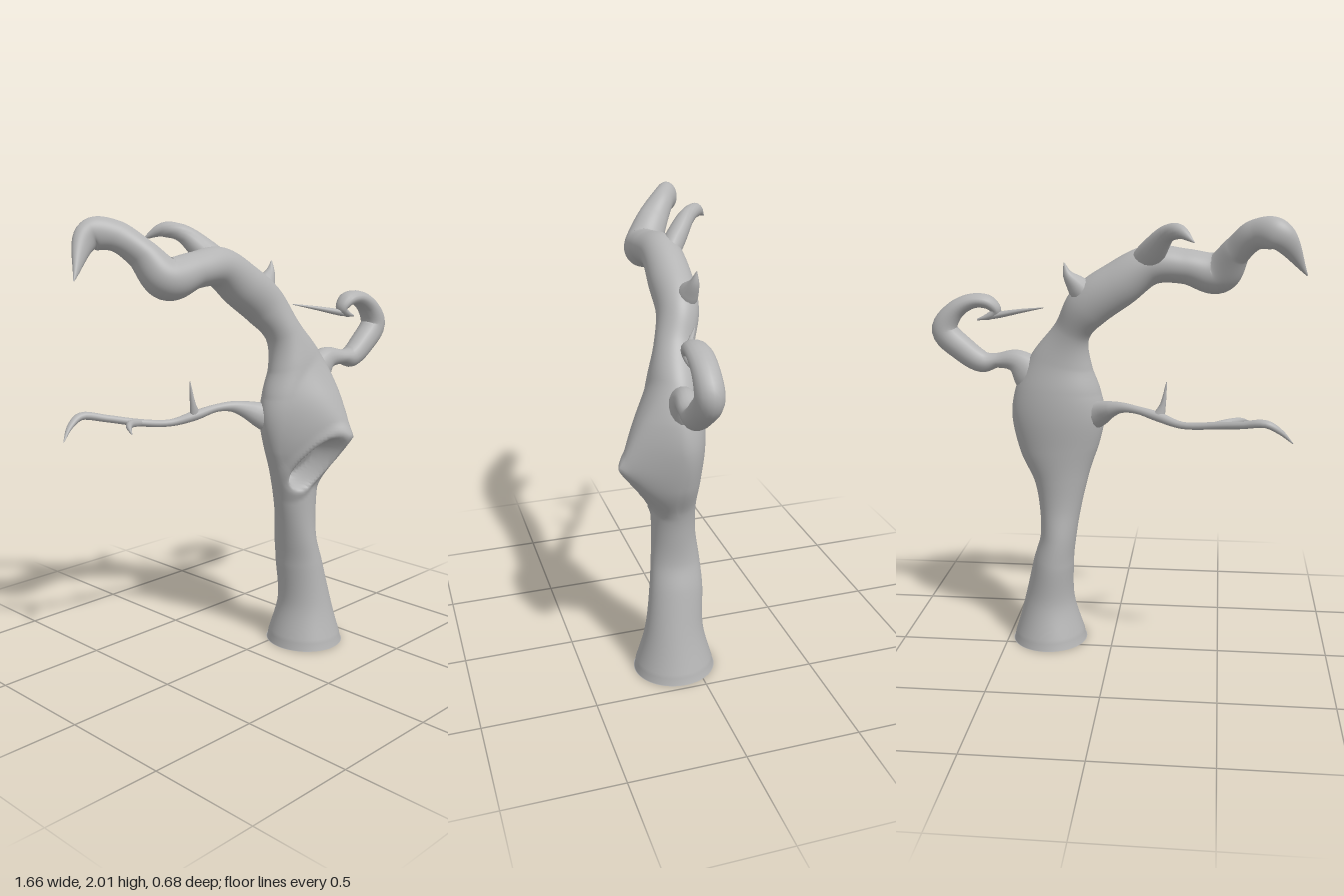
import * as THREE from 'three';

// Sweep an elliptical section along a smooth path. Rows: [x, y, z, in-plane radius, depth radius]
function sweep(rows, sides, steps) {
  const path = new THREE.CatmullRomCurve3(rows.map(r => new THREE.Vector3(r[0], r[1], r[2])));
  const size = new THREE.CatmullRomCurve3(rows.map(r => new THREE.Vector3(r[3], r[4] ?? r[3], 0)), false, 'catmullrom', 0.5);
  const rings = (rows.length - 1) * steps;
  const zAxis = new THREE.Vector3(0, 0, 1);
  const pos = [], index = [];
  for (let i = 0; i <= rings; i++) {
    const u = i / rings;
    const c = path.getPoint(u), s = size.getPoint(u), t = path.getTangent(u);
    const n = zAxis.clone().cross(t).normalize();
    const b = t.clone().cross(n);
    for (let j = 0; j < sides; j++) {
      const a = j / sides * Math.PI * 2;
      const p = c.clone()
        .addScaledVector(n, Math.cos(a) * Math.max(s.x, 0.002))
        .addScaledVector(b, Math.sin(a) * Math.max(s.y, 0.002));
      pos.push(p.x, p.y, p.z);
      if (i < rings) {
        const k = i * sides + j, l = i * sides + (j + 1) % sides;
        index.push(k, l, k + sides, l, l + sides, k + sides);
      }
    }
  }
  const g = new THREE.BufferGeometry();
  g.setAttribute('position', new THREE.Float32BufferAttribute(pos, 3));
  g.setIndex(index);
  g.computeVertexNormals();
  return g;
}

// Pull a pointed brow out of the trunk's front and press a hollow below it
function carveKnot(g) {
  const p = g.attributes.position, nor = g.attributes.normal;
  for (let i = 0; i < p.count; i++) {
    const x = p.getX(i), y = p.getY(i);
    if (y < 0.025) p.setY(i, 0); // level foot
    if (nor.getZ(i) < 0 || y < 0.6 || y > 1.45) continue;
    const dx = x - 0.34, dy = y - 1.03;
    const cone = Math.max(0, 1 - Math.hypot(dx / (dx < 0 ? 0.26 : 0.12), dy / (dy < 0 ? 0.27 : 0.36)));
    // hollow is a leaning oval with a slightly raised rim
    const hx = x - 0.22 - (y - 0.9) * 0.4;
    const d = Math.hypot(hx / 0.078, (y - 0.905) / 0.13);
    const hollow = THREE.MathUtils.smoothstep(1 - d, 0, 0.45);
    const rim = Math.max(0, 1 - Math.abs(d - 1.1) / 0.35);
    p.setZ(i, p.getZ(i) + 0.15 * cone ** 1.3 - 0.1 * hollow + 0.012 * rim);
  }
  g.computeVertexNormals();
  return g;
}

export function createModel() {
  const tree = new THREE.Group();
  tree.name = 'tree';
  const bark = new THREE.MeshStandardMaterial({ color: 0xb4b4b4, side: THREE.DoubleSide });
  bark.name = 'grey bark';
  const add = (name, geometry) => {
    const m = new THREE.Mesh(geometry, bark);
    m.name = name;
    tree.add(m);
  };

  // Trunk flowing into the main limb and its hooked tip
  add('trunkAndMainLimb', carveKnot(sweep([
    [0.303, 0, 0.09, 0.176, 0.184],
    [0.302, 0.2, 0.088, 0.118, 0.132],
    [0.278, 0.4, 0.072, 0.094, 0.12],
    [0.256, 0.52, 0.07, 0.083, 0.11],
    [0.246, 0.66, 0.075, 0.096, 0.097],
    [0.242, 0.8, 0.076, 0.125, 0.098],
    [0.25, 0.95, 0.078, 0.182, 0.112],
    [0.25, 1.1, 0.077, 0.212, 0.125],
    [0.247, 1.22, 0.078, 0.195, 0.124],
    [0.23, 1.35, 0.075, 0.142, 0.105],
    [0.18, 1.49, 0.05, 0.083, 0.085],
    [0.1, 1.61, 0.01, 0.1, 0.09],
    [-0.03, 1.705, 0, 0.1, 0.095],
    [-0.17, 1.79, 0, 0.085, 0.088],
    [-0.32, 1.785, 0.005, 0.075, 0.088],
    [-0.46, 1.76, -0.005, 0.088, 0.088],
    [-0.535, 1.86, -0.07, 0.062, 0.072],
    [-0.61, 1.93, -0.14, 0.062, 0.055],
    [-0.7, 1.93, -0.19, 0.062, 0.045],
    [-0.825, 1.765, -0.13, 0.003, 0.003],
  ], 96, 12)));

  // Curling branch on the left side
  add('curledBranch', sweep([
    [0.26, 1.17, 0.07, 0.1, 0.07],
    [0.36, 1.275, 0.075, 0.092, 0.068],
    [0.44, 1.345, 0.085, 0.055, 0.05],
    [0.53, 1.345, 0.1, 0.034, 0.045],
    [0.6, 1.338, 0.1, 0.05, 0.05],
    [0.69, 1.395, 0.1, 0.058, 0.056],
    [0.77, 1.48, 0.1, 0.06, 0.058],
    [0.725, 1.565, 0.1, 0.044, 0.055],
    [0.64, 1.613, 0.1, 0.034, 0.052],
    [0.565, 1.608, 0.1, 0.031, 0.045],
    [0.53, 1.57, 0.1, 0.022, 0.03],
    [0.565, 1.545, 0.1, 0.016, 0.02],
    [0.62, 1.53, 0.1, 0.003],
  ], 16, 6));
  add('curlSpike', sweep([
    [0.62, 1.528, 0.1, 0.003],
    [0.53, 1.55, 0.095, 0.014, 0.02],
    [0.42, 1.575, 0.06, 0.01, 0.013],
    [0.3, 1.6, 0, 0.002],
  ], 10, 6));

  // Thin forked twig on the right side
  add('twig', sweep([
    [0.16, 1.08, 0.07, 0.08, 0.05],
    [0.06, 1.125, 0.03, 0.06, 0.045],
    [0, 1.155, -0.015, 0.037, 0.035],
    [-0.05, 1.17, -0.045, 0.024],
    [-0.12, 1.168, -0.075, 0.018],
    [-0.22, 1.145, -0.105, 0.022],
    [-0.32, 1.122, -0.15, 0.016],
    [-0.45, 1.135, -0.2, 0.016, 0.02],
    [-0.57, 1.16, -0.28, 0.016, 0.02],
    [-0.67, 1.178, -0.325, 0.017, 0.02],
    [-0.73, 1.145, -0.32, 0.012, 0.015],
    [-0.785, 1.09, -0.295, 0.002],
  ], 12, 5));
  add('twigFork', sweep([
    [-0.44, 1.133, -0.2, 0.014],
    [-0.52, 1.145, -0.175, 0.017],
    [-0.57, 1.145, -0.13, 0.012],
    [-0.605, 1.13, -0.07, 0.002],
  ], 10, 5));
  add('twigThorn', sweep([
    [-0.215, 1.14, -0.105, 0.03, 0.018],
    [-0.235, 1.2, -0.1, 0.013],
    [-0.25, 1.3, -0.1, 0.002],
  ], 10, 6));

  // Short hook and nub on top of the main limb
  add('limbHook', sweep([
    [-0.1, 1.765, 0, 0.05, 0.045],
    [-0.175, 1.845, -0.065, 0.058, 0.048],
    [-0.245, 1.93, -0.145, 0.038, 0.036],
    [-0.3, 1.943, -0.205, 0.03, 0.027],
    [-0.36, 1.905, -0.26, 0.003],
  ], 14, 6));
  add('limbNub', sweep([
    [0.08, 1.62, -0.005, 0.07, 0.06],
    [0.145, 1.7, -0.025, 0.048, 0.042],
    [0.185, 1.75, -0.035, 0.022],
    [0.2, 1.8, -0.04, 0.002],
  ], 12, 6));

  return tree;
}
